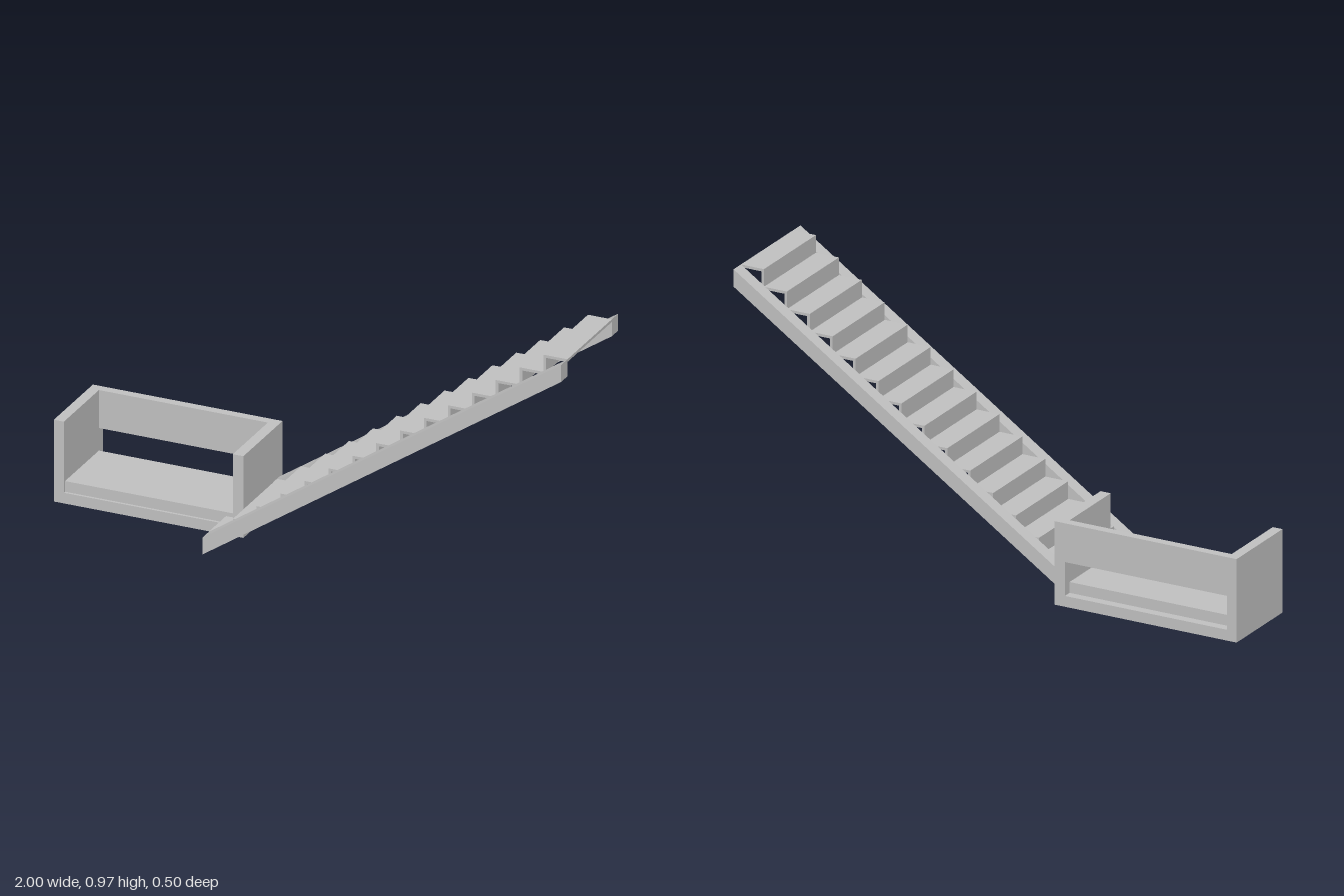
import * as THREE from 'three';

export function createModel() {
  const model = new THREE.Group();
  const grey = new THREE.MeshStandardMaterial({ color: 0xc0c0c0 });
  grey.name = 'light grey';

  // Box given by its minimum and maximum corners
  function box(parent, name, [x0, y0, z0], [x1, y1, z1]) {
    const mesh = new THREE.Mesh(new THREE.BoxGeometry(x1 - x0, y1 - y0, z1 - z0), grey);
    mesh.position.set((x0 + x1) / 2, (y0 + y1) / 2, (z0 + z1) / 2);
    mesh.name = name;
    parent.add(mesh);
  }

  // Bench: base, raised seat, two end walls and a back rail above an open slot
  const bench = new THREE.Group();
  bench.name = 'bench';
  model.add(bench);
  box(bench, 'benchBase', [-0.962, 0, -0.25], [-0.324, 0.04, 0.07]);
  box(bench, 'benchSeat', [-0.962, 0.04, -0.217], [-0.324, 0.08, 0.06]);
  box(bench, 'benchRightWall', [-1, 0, -0.25], [-0.962, 0.308, 0.07]);
  box(bench, 'benchLeftWall', [-0.324, 0, -0.25], [-0.284, 0.308, 0.07]);
  box(bench, 'benchBackRail', [-0.962, 0.165, -0.25], [-0.324, 0.308, -0.217]);

  const stairs = new THREE.Group();
  stairs.name = 'stairs';
  model.add(stairs);

  // Sloping stringers with plumb-cut ends
  const startX = -0.354, slope = 0.91 / (1 - startX), depth = 0.064;
  function stringer(name, x0, z0, z1) {
    const y0 = (x0 - startX) * slope;
    const shape = new THREE.Shape([
      new THREE.Vector2(x0, y0), new THREE.Vector2(1, 0.91),
      new THREE.Vector2(1, 0.91 + depth), new THREE.Vector2(x0, y0 + depth),
    ]);
    const geometry = new THREE.ExtrudeGeometry(shape, { depth: z1 - z0, bevelEnabled: false });
    geometry.translate(0, 0, z0);
    const mesh = new THREE.Mesh(geometry, grey);
    mesh.name = name;
    stairs.add(mesh);
  }
  stringer('frontStringer', startX, 0.2, 0.252);
  stringer('backStringer', -0.28, -0.215, -0.163);

  // Thin treads and risers between the stringers
  const count = 15, run = (1 - startX) / count, rise = 0.974 / count, thick = 0.01;
  for (let i = 0; i < count; i++) {
    const x = startX + i * run, y = (i + 1) * rise;
    box(stairs, 'tread', [x, y - thick, -0.163], [x + run, y, 0.2]);
    box(stairs, 'riser', [x, y - rise, -0.163], [x + thick, y - thick, 0.2]);
  }
  return model;
}
